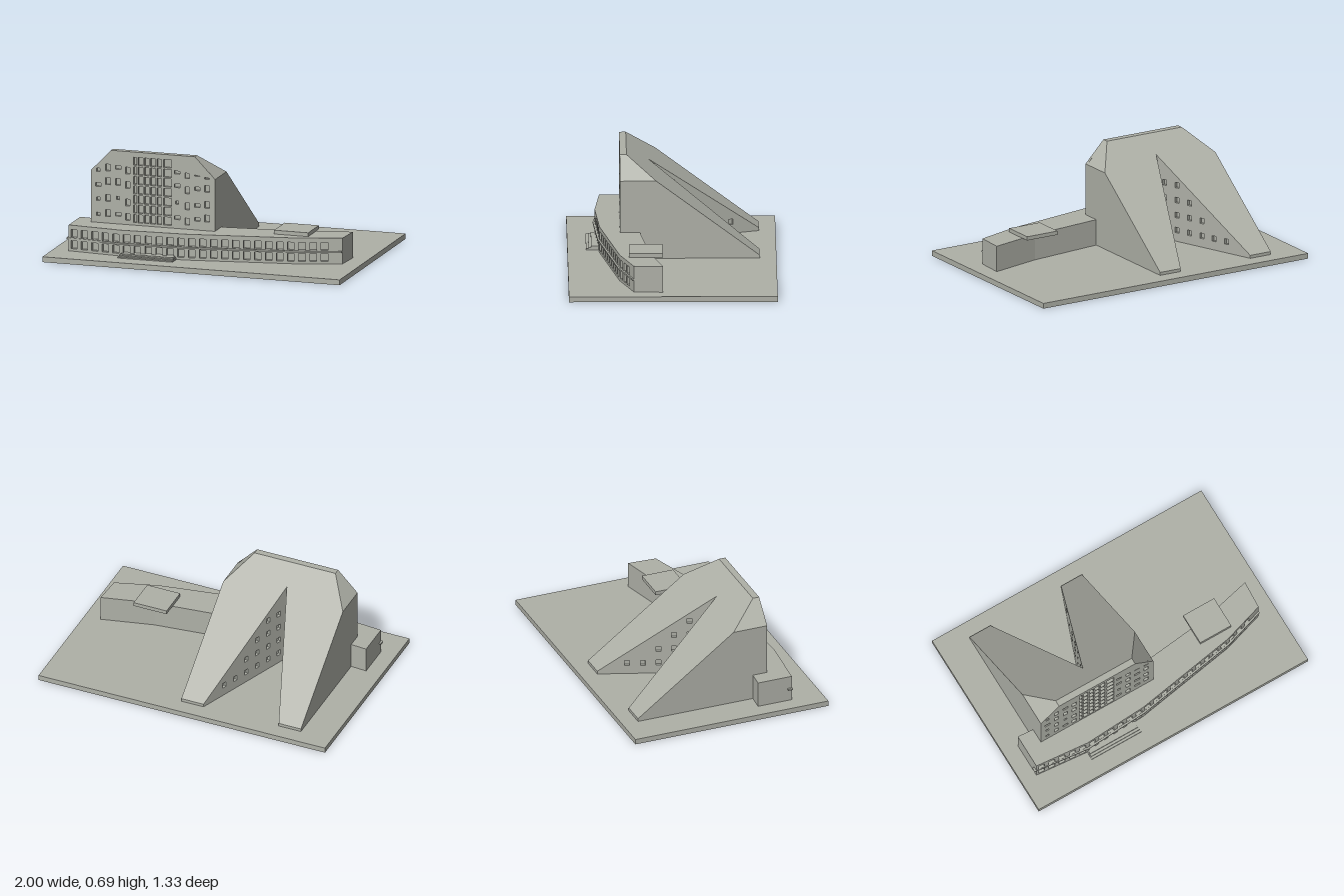
import * as THREE from 'three';

const concrete = new THREE.MeshStandardMaterial({ color: 0xaeb0a7 });
concrete.name = 'concrete grey';

const GROUND = 0.035;
const vec = (pts) => pts.map(([x, y]) => new THREE.Vector2(x, y));

function add(parent, name, geometry) {
  const mesh = new THREE.Mesh(geometry, concrete);
  mesh.name = name;
  parent.add(mesh);
  return mesh;
}

function box(parent, name, x0, x1, y0, y1, z0, z1) {
  const mesh = add(parent, name, new THREE.BoxGeometry(x1 - x0, y1 - y0, z1 - z0));
  mesh.position.set((x0 + x1) / 2, (y0 + y1) / 2, (z0 + z1) / 2);
}

// Upright wall from plan point a to b (left to right seen from outside).
// windows: [centre along wall, centre y, width, height], recessed by depth.
function wall(parent, name, a, b, outline, windows = [], depth = 0.02) {
  const shape = new THREE.Shape(vec(outline));
  for (const [s, y, w, h] of windows) {
    shape.holes.push(new THREE.Path(vec([
      [s - w / 2, y - h / 2], [s - w / 2, y + h / 2], [s + w / 2, y + h / 2], [s + w / 2, y - h / 2],
    ])));
  }
  const group = new THREE.Group();
  group.name = name;
  group.position.set(a[0], 0, a[1]);
  group.rotation.y = Math.atan2(-(b[1] - a[1]), b[0] - a[0]);
  if (windows.length) {
    const face = new THREE.ExtrudeGeometry(shape, { depth, bevelEnabled: false });
    add(group, name + 'Face', face.translate(0, 0, -depth));
    const back = new THREE.ShapeGeometry(new THREE.Shape(vec(outline)));
    add(group, name + 'Glazing', back.translate(0, 0, -depth + 0.001));
  } else {
    add(group, name + 'Face', new THREE.ShapeGeometry(shape));
  }
  parent.add(group);
}

const rect = (len, top) => [[0, GROUND], [len, GROUND], [len, top], [0, top]];
const dist = (a, b) => Math.hypot(b[0] - a[0], b[1] - a[1]);

// Upward-facing surface over a plan outline [x, z], with height given by a rule
function roof(parent, name, plan, height) {
  const g = new THREE.ShapeGeometry(new THREE.Shape(vec(plan.map(([x, z]) => [x, -z]))));
  g.rotateX(-Math.PI / 2);
  const p = g.attributes.position;
  for (let i = 0; i < p.count; i++) p.setY(i, height(p.getX(i), p.getZ(i)));
  const flat = g.toNonIndexed();
  flat.computeVertexNormals();
  add(parent, name, flat);
}

function towerWindows() {
  const list = [];
  // Central glazed grid
  const columns = [[-0.488, 0.022], [-0.452, 0.032], [-0.409, 0.032], [-0.367, 0.032], [-0.325, 0.032], [-0.27, 0.052]];
  for (const [x, w] of columns) {
    for (let r = 0; r < 7; r++) list.push([x, 0.248 + r * 0.0628, w, 0.052]);
  }
  // Scattered small windows: x, then [y, width, height]
  const S = [0.022, 0.022], W = [0.038, 0.024], T = [0.032, 0.044];
  const scattered = [
    [-0.735, [0.26, S], [0.36, S], [0.453, W], [0.55, S]],
    [-0.67, [0.27, T], [0.37, T], [0.48, T], [0.57, T]],
    [-0.602, [0.268, W], [0.375, S], [0.48, T], [0.575, W]],
    [-0.537, [0.255, T], [0.35, T], [0.465, T], [0.56, T]],
    [-0.205, [0.275, W], [0.375, S], [0.485, W], [0.575, W]],
    [-0.137, [0.255, T], [0.355, T], [0.46, T], [0.56, T]],
    [-0.07, [0.275, W], [0.365, W], [0.475, W], [0.57, W]],
    [-0.003, [0.285, T], [0.375, T], [0.48, T], [0.565, T]],
  ];
  for (const [x, ...rows] of scattered) for (const [y, [w, h]] of rows) list.push([x, y, w, h]);
  return list;
}

// Wedge tower with a V-shaped courtyard cut into its sloping back
function tower() {
  const g = new THREE.Group();
  g.name = 'tower';
  const x0 = -0.785, x1 = 0.05, c0 = -0.65, c1 = -0.085;
  const front = 0.333, ridge = 0.29, knee = 0.101, back = -0.56;
  const top = 0.685, eave = 0.545, low = 0.055;
  const slope = (x, z) => top - (ridge - z) * (top - low) / (ridge - back);
  const apex = [-0.37, 0.155], inL = [-0.63, back], inR = [-0.105, back];

  // Front wall, in coordinates measured from its left corner
  const shift = ([x, ...rest]) => [x - x0, ...rest];
  const outline = [[x0, GROUND], [x1, GROUND], [x1, eave], [c1, top], [c0, top], [x0, eave]].map(shift);
  wall(g, 'frontWall', [x0, front], [x1, front], outline, towerWindows().map(shift));

  // Side walls
  const len = front - back, k = front - knee;
  const side = [[0, GROUND], [len, GROUND], [len, low], [k, eave], [0, eave]];
  wall(g, 'leftWall', [x1, front], [x1, back], side);
  wall(g, 'rightWall', [x0, back], [x0, front], side.map(([s, y]) => [len - s, y]).reverse());

  // Roofs
  roof(g, 'flatRoof', [[c0, front], [c1, front], [c1, ridge], [c0, ridge]], () => top);
  const rise = (top - eave) / (x1 - c1);
  roof(g, 'leftChamfer', [[c1, front], [x1, front], [x1, knee], [c1, ridge]], (x) => eave + (x1 - x) * rise);
  roof(g, 'rightChamfer', [[x0, front], [c0, front], [c0, ridge], [x0, knee]], (x) => eave + (x - x0) * rise);
  roof(g, 'slopingRoof', [[c0, ridge], [c1, ridge], [x1, knee], [x1, back], inR, apex, inL, [x0, back], [x0, knee]], slope);

  // Wing ends and courtyard walls with small windows
  wall(g, 'leftWingEnd', [x1, back], inR, rect(x1 - inR[0], low));
  wall(g, 'rightWingEnd', inL, [x0, back], rect(inL[0] - x0, low));
  const L = dist(apex, inL), high = slope(0, apex[1]);
  const tri = [[0, GROUND], [L, GROUND], [L, low], [0, high]];
  const holes = [];
  for (let r = 0; r < 4; r++) {
    for (let c = 0; c < 6; c++) {
      const s = 0.07 + c * 0.1, y = 0.11 + r * 0.1;
      if (y + 0.05 < high - (high - low) * s / L) holes.push([s, y, 0.032, 0.036]);
    }
  }
  wall(g, 'rightCourtWall', apex, inL, tri, holes);
  wall(g, 'leftCourtWall', inR, apex, tri.map(([s, y]) => [L - s, y]).reverse(),
    holes.map(([s, ...rest]) => [L - s, ...rest]));
  return g;
}

// Long low block with a bent, windowed front
function podium() {
  const g = new THREE.Group();
  g.name = 'podium';
  const top = 0.205;
  const front = [[-0.893, 0.458], [-0.53, 0.49], [-0.1, 0.463], [0.6, 0.34], [0.88, 0.252]];
  const rear = [[0.89, 0.065], [0.55, 0.147], [0.05, 0.205], [-0.7, 0.24], [-0.893, 0.225]];
  const counts = [5, 6, 10, 3];
  counts.forEach((n, i) => {
    const len = dist(front[i], front[i + 1]);
    const step = i === 3 ? 0.072 : len / n;
    const windows = [];
    for (let c = 0; c < n; c++) {
      for (const y of [0.077, 0.15]) windows.push([(c + 0.5) * step, y, 0.044, 0.052]);
    }
    wall(g, 'frontWall' + (i + 1), front[i], front[i + 1], rect(len, top), windows, 0.025);
  });
  const rest = [front[4], ...rear, front[0]];
  for (let i = 0; i + 1 < rest.length; i++) {
    wall(g, 'plainWall' + (i + 1), rest[i], rest[i + 1], rect(dist(rest[i], rest[i + 1]), top));
  }
  roof(g, 'podiumRoof', [...front, ...rear], () => top);

  // Thin ledge between the two rows of windows
  const out = front.map(([x, z]) => [x, z + 0.012]);
  out[0] = [-0.907, 0.46];
  const ledge = [...out, ...front.slice(1).reverse().map(([x, z]) => [x, z - 0.01]), [-0.88, 0.43], [-0.907, 0.43]];
  const lg = new THREE.ExtrudeGeometry(new THREE.Shape(vec(ledge.map(([x, z]) => [x, -z]))), { depth: 0.01, bevelEnabled: false });
  add(g, 'ledge', lg.rotateX(-Math.PI / 2)).position.y = 0.112;

  box(g, 'roofSlab', 0.43, 0.66, top, 0.23, 0.065, 0.28);
  return g;
}

export function createModel() {
  const model = new THREE.Group();
  model.name = 'building';
  box(model, 'basePlate', -1, 1, 0, GROUND, -0.667, 0.667);
  model.add(tower(), podium());
  // Entrance steps
  [[0.042, 0.548], [0.049, 0.532], [0.057, 0.515]].forEach(([y, z], i) =>
    box(model, 'step' + (i + 1), -0.535 + i * 0.004, -0.165 - i * 0.004, GROUND, y, 0.45, z));
  return model;
}
